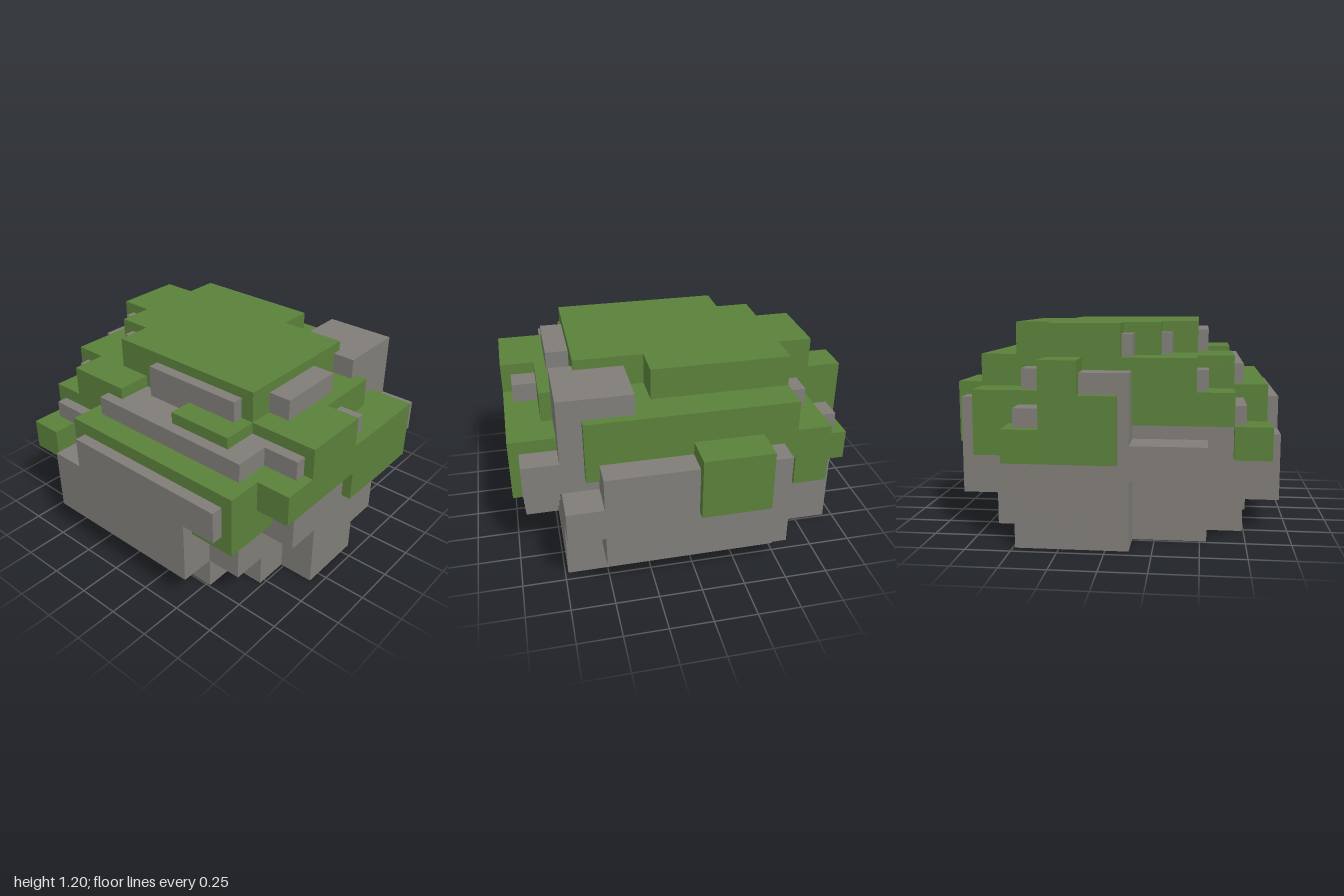
import * as THREE from 'three';
import { mergeGeometries } from 'three/addons/utils/BufferGeometryUtils.js';

// Layer maps run bottom to top; rows run back to front, columns from -x to +x.
const ROCK = [
  ['.........', '..######.', '########.', '########.', '#########', '.########', '.#######.', '..#####..', '.........'],
  ['..#####..', '..######.', '########.', '#########', '#########', '.########', '.#######.', '.#######.', '..#####..'],
  ['..######.', '.#######.', '#########', '#########', '#########', '#########', '#########', '.#######.', '..#####..'],
  ['..#####..', '.########', '#########', '#########', '#########', '.########', '.########', '.#######.', '...#####.'],
  ['.........', '..######.', '.#######.', '########.', '#########', '.#######.', '.########', '...#####.', '.........'],
  ['.........', '......##.', '......##.', '..#####..', '.#######.', '..######.', '....###..', '.........', '.........'],
];

const MOSS = [
  ['...##.....', '.#........', '##......##', '##......##', '##......##', '..........', '..........', '........#.', '.#.######.'],
  ['...##.....', '.#######..', '.#########', '##########', '##########', '.#########', '.#########', '.#########', '...######.'],
  ['..........', '..######..', '..######..', '#########.', '.########.', '.#########', '.#########', '..##..##..', '..........'],
  ['..........', '..........', '..####....', '.#######..', '.#######..', '..######..', '...#####..', '..........', '..........'],
];

// The six face directions: step in column, layer, row, and the plane's rotation.
const FACES = [
  [1, 0, 0, 0, Math.PI / 2], [-1, 0, 0, 0, -Math.PI / 2],
  [0, 1, 0, -Math.PI / 2, 0], [0, -1, 0, Math.PI / 2, 0],
  [0, 0, 1, 0, 0], [0, 0, -1, 0, Math.PI],
];

// Builds only the exposed cell faces of a layer map.
function blockGeometry(layers, origin, cell) {
  const filled = (i, j, k) => layers[j]?.[k]?.[i] === '#';
  const parts = [];
  layers.forEach((rows, j) => rows.forEach((row, k) => [...row].forEach((c, i) => {
    if (c !== '#') return;
    for (const [dx, dy, dz, rx, ry] of FACES) {
      if (filled(i + dx, j + dy, k + dz)) continue;
      const face = new THREE.PlaneGeometry(1, 1);
      face.rotateX(rx).rotateY(ry);
      face.translate(i + 0.5 + dx / 2, j + 0.5 + dy / 2, k + 0.5 + dz / 2);
      parts.push(face);
    }
  })));
  return mergeGeometries(parts).scale(...cell).translate(...origin);
}

function blockMesh(name, color, layers, origin, cell) {
  const material = new THREE.MeshStandardMaterial({ color });
  const mesh = new THREE.Mesh(blockGeometry(layers, origin, cell), material);
  mesh.name = name;
  return mesh;
}

export function createModel() {
  const group = new THREE.Group();
  group.name = 'mossyRock';
  // Stepped boulder
  group.add(blockMesh('rock', 0x807d78, ROCK, [-0.943, 0, -0.898], [0.2095, 0.19, 0.205]));
  // Moss cap and hanging patches, on a slightly finer grid
  group.add(blockMesh('moss', 0x5a803a, MOSS, [-1, 0.475, -0.95], [0.2, 0.181, 0.2033]));
  return group;
}
